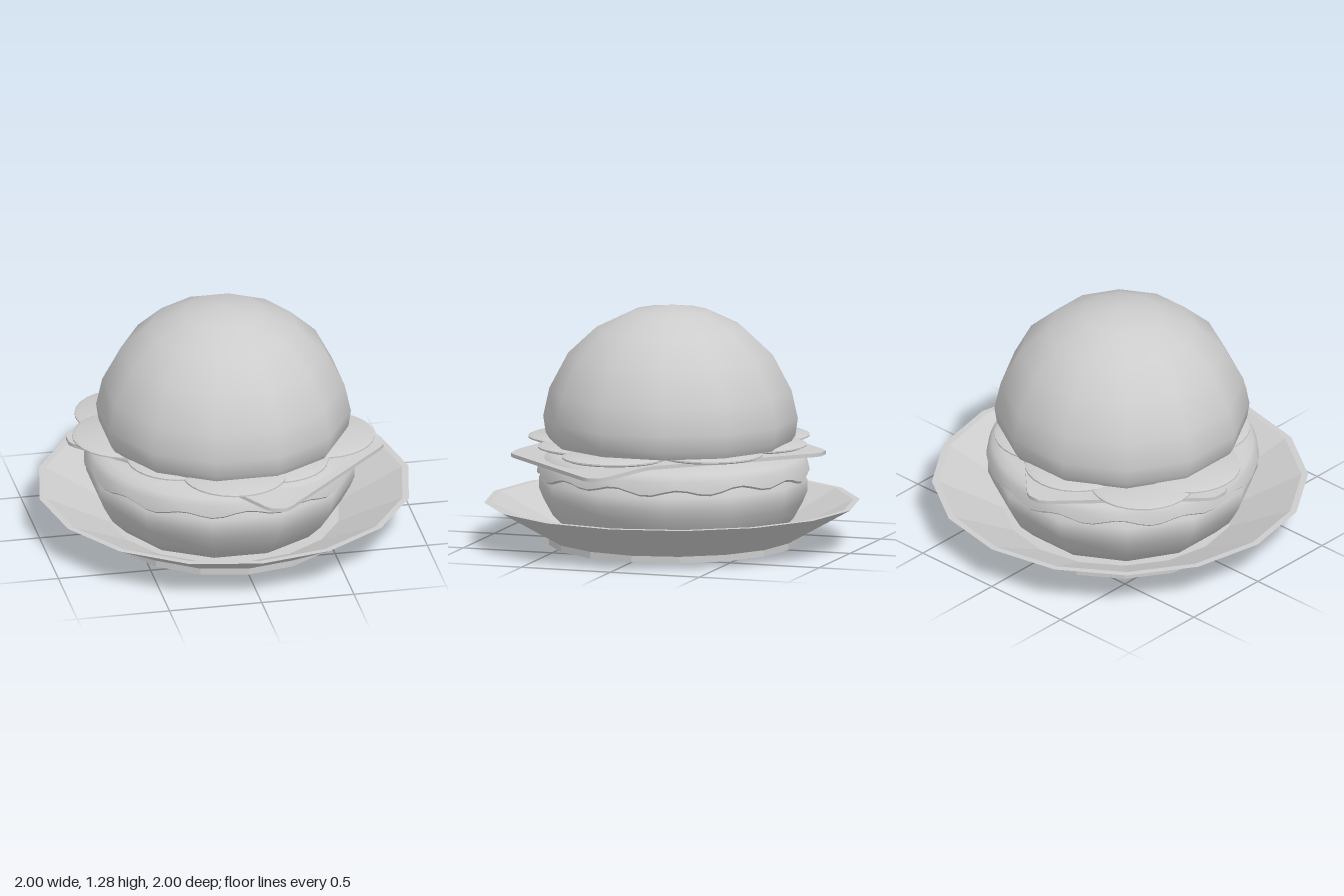
import * as THREE from 'three';
import { toCreasedNormals } from 'three/addons/utils/BufferGeometryUtils.js';

const grey = new THREE.MeshStandardMaterial({ color: 0xcccccc });
grey.name = 'light grey';

// Surface of revolution from [radius, height] pairs, bottom to top
function lathe(points, sides, turn = 0) {
  const g = new THREE.LatheGeometry(points.map(([r, y]) => new THREE.Vector2(r, y)), sides);
  return g.rotateY(turn);
}

export function createModel() {
  const group = new THREE.Group();
  const add = (name, geometry, x = 0, y = 0, z = 0) => {
    const mesh = new THREE.Mesh(geometry, grey);
    mesh.name = name;
    mesh.position.set(x, y, z);
    group.add(mesh);
    return mesh;
  };
  const turn = Math.PI / 12;

  // Faceted plate with foot, sloping wall, narrow rim and sunken floor
  const plate = lathe([[0, 0], [0.655, 0], [0.655, 0.035], [1, 0.23],
    [0.965, 0.23], [0.62, 0.06], [0, 0.06]], 16);
  add('plate', toCreasedNormals(plate, 0.05));

  // Bottom bun
  const bottomBun = lathe([[0, 0.06], [0.56, 0.06], [0.64, 0.14], [0.69, 0.23],
    [0.715, 0.29], [0.715, 0.35], [0.67, 0.41], [0, 0.42]], 12, turn);
  add('bottomBun', toCreasedNormals(bottomBun, 0.9), -0.02);

  // Patty layer with a skirt whose lower edge waves
  const skirt = lathe([[0, 0.4], [0.55, 0.4], [0.715, 0.38], [0.725, 0.39], [0.715, 0.44],
    [0.695, 0.475], [0.65, 0.495], [0, 0.5]], 72);
  const sp = skirt.attributes.position;
  for (let i = 0; i < sp.count; i++) {
    const x = sp.getX(i), y = sp.getY(i), z = sp.getZ(i);
    const a = Math.atan2(z, x), r = Math.hypot(x, z);
    if (y < 0.41 && r > 0.6) sp.setY(i, y + 0.016 * Math.sin(13 * a) + 0.006 * Math.sin(5 * a));
  }
  add('wavyPatty', toCreasedNormals(skirt, 0.9), -0.02);

  // Cheese slice: rounded rectangle laid diagonally, one end drooping
  const cheese = new THREE.BoxGeometry(1.42, 0.02, 1.06, 28, 1, 20);
  const cp = cheese.attributes.position;
  for (let i = 0; i < cp.count; i++) {
    let u = cp.getX(i), v = cp.getZ(i);
    const over = Math.max(0, Math.abs(u) + Math.abs(v) - 1.17); // trim the corners
    u -= Math.sign(u) * over / 2;
    v -= Math.sign(v) * over / 2;
    const droop = 0.05 * THREE.MathUtils.clamp((u - 0.38) / 0.3, 0, 1);
    cp.setXYZ(i, u, cp.getY(i) - droop, v);
  }
  cheese.rotateY(-Math.PI / 4);
  add('cheeseSlice', toCreasedNormals(cheese, 0.7), 0, 0.508, 0.02);

  // Ring of overlapping round slices
  const slice = toCreasedNormals(lathe([[0, -0.012], [0.26, -0.012], [0.28, -0.004],
    [0.28, 0.004], [0.255, 0.014], [0, 0.016]], 28), 0.9);
  [[0.5, 0.15], [-0.05, 0.53], [0.2, 0.39], [-0.53, -0.04], [-0.46, -0.32], [-0.09, -0.43],
    [0.25, -0.3], [-0.3, 0.28]].forEach(([x, z], i) =>
    add('roundSlice' + (i + 1), slice, x, 0.533 + 0.01 * (i % 2), z));

  // Domed top bun
  const topBun = lathe([[0, 0.55], [0.64, 0.55], [0.665, 0.59], [0.678, 0.68], [0.645, 0.83],
    [0.545, 1.02], [0.395, 1.16], [0.208, 1.25], [0, 1.282]], 12, turn);
  add('topBun', toCreasedNormals(topBun, 0.9), -0.005, 0, 0.01);

  return group;
}
